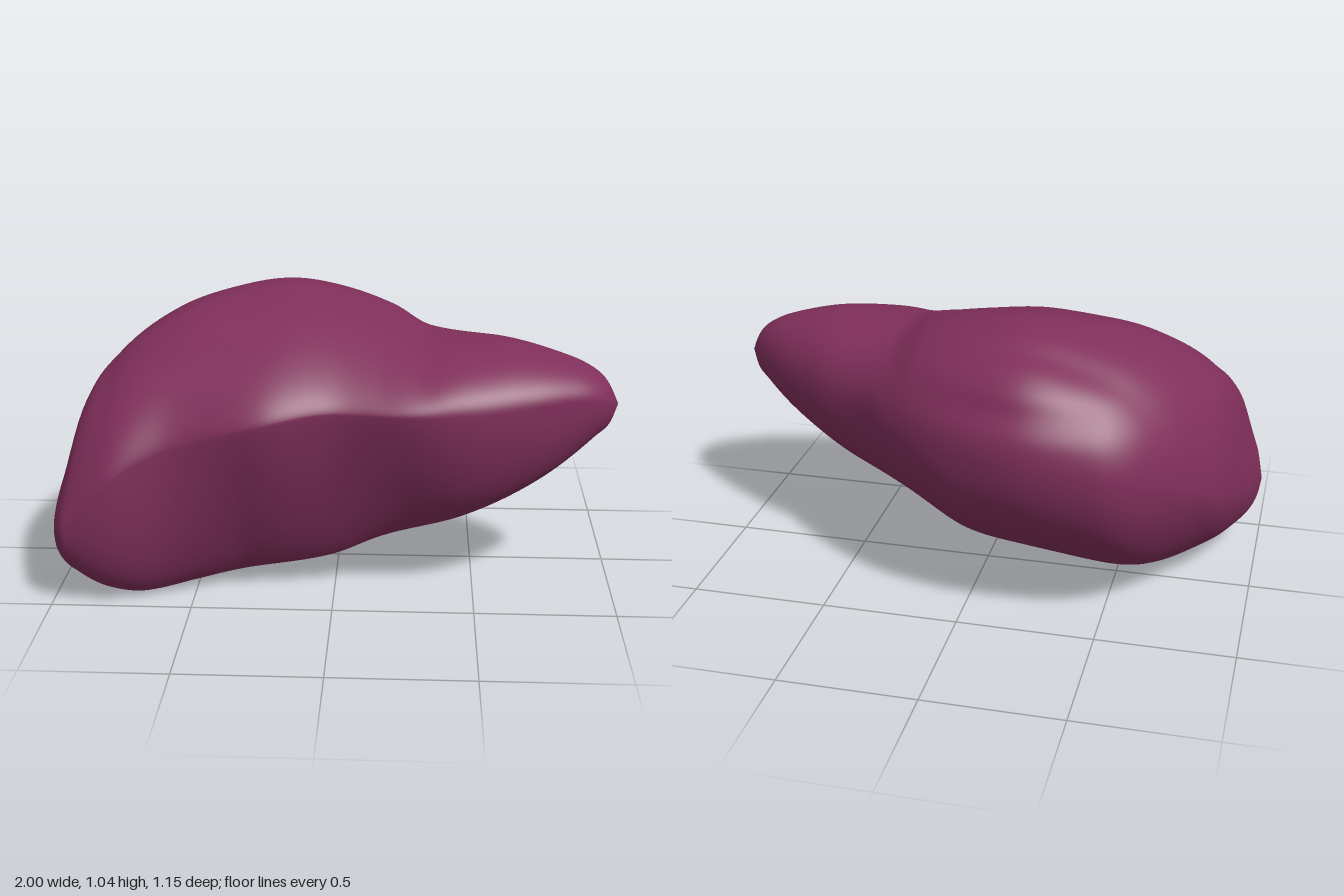
import * as THREE from 'three';

// Outline curves along the length of the organ, as [x, value] pairs
const top = [[-1, .27], [-.98, .37], [-.95, .48], [-.91, .635], [-.865, .735], [-.8, .81], [-.6, .95], [-.4, 1.012],
  [-.17, 1.04], [0, 1.02], [.2, .965], [.34, .908], [.55, .905], [.8, .86], [.92, .81], [.97, .755], [1, .69]];
const bottom = [[-1, .27], [-.99, .205], [-.97, .155], [-.9, .085], [-.8, .025], [-.68, 0], [-.5, .025], [-.33, .06],
  [0, .125], [.15, .19], [.45, .28], [.6, .35], [.8, .475], [.92, .575], [.97, .62], [1, .69]];
const back = [[-1, .38], [-.97, .19], [-.93, .03], [-.88, -.12], [-.8, -.26], [-.7, -.4], [-.6, -.5], [-.48, -.555],
  [-.27, -.58], [0, -.52], [.3, -.34], [.42, -.23], [.65, -.095], [.9, .085], [.96, .145], [1, .21]];
const front = [[-1, .38], [-.97, .51], [-.93, .555], [-.8, .575], [-.55, .53], [-.25, .565], [.03, .505],
  [.27, .53], [.45, .51], [.6, .47], [.8, .39], [.92, .32], [.97, .275], [1, .21]];
// Heights of the front and back edges, depths of the crest and the keel
const frontY = [[-1, .27], [-.9, .34], [-.75, .5], [-.5, .62], [0, .73], [.5, .73], [.8, .745], [.92, .73], [1, .69]];
const backY = [[-1, .27], [-.9, .4], [-.6, .6], [-.2, .67], [.3, .66], [.7, .68], [1, .69]];
const crestZ = [[-1, .38], [-.8, .12], [-.5, 0], [-.2, -.11], [.2, -.03], [.4, .1], [.6, .15], [1, .21]];
const keelZ = [[-1, .38], [-.7, .33], [-.3, .28], [.1, .28], [.5, .27], [1, .21]];
// Fullness of each quarter of the cross-section (1 is straight, 2 is round)
const frontTopFullness = [[-1, 1.6], [-.6, 1.55], [.15, 1.48], [.45, 1.9], [1, 1.9]];
const frontBottomFullness = [[-1, 2], [-.75, 2.4], [-.3, 1.3], [.2, 1.3], [.5, 1.85], [.8, 2.2], [1, 2]];
const backBottomFullness = [[-1, 1.5], [-.85, 1.55], [-.55, 1.95], [-.2, 2], [.05, 2.15], [.3, 2], [.55, 2.25], [1, 2.1]];
const backTopFullness = [[-1, 2.1], [1, 2.1]];

// Smooth interpolation that never overshoots its points
function sample(points, x) {
  const secant = (k) => (points[k + 1][1] - points[k][1]) / (points[k + 1][0] - points[k][0]);
  const slope = (k) => {
    if (k === 0) return secant(0);
    if (k === points.length - 1) return secant(k - 1);
    const a = secant(k - 1), b = secant(k);
    if (a * b <= 0) return 0;
    const before = points[k][0] - points[k - 1][0], after = points[k + 1][0] - points[k][0];
    const mean = (a * after + b * before) / (before + after);
    return Math.sign(mean) * Math.min(Math.abs(mean), 1.6 * Math.abs(a), 1.6 * Math.abs(b));
  };
  let i = 0;
  while (i < points.length - 2 && x > points[i + 1][0]) i++;
  const [x0, v0] = points[i], [x1, v1] = points[i + 1];
  const h = x1 - x0, t = (x - x0) / h, s = 1 - t;
  return v0 * (1 + 2 * t) * s * s + slope(i) * h * t * s * s + v1 * t * t * (3 - 2 * t) - slope(i + 1) * h * t * t * s;
}

const bell = (value, centre, width) => Math.exp(-(((value - centre) / width) ** 2));

// One point of the cross-section: four rounded quarters meeting at crest, keel and edges
function sectionPoint(x, angle) {
  const c = Math.cos(angle), s = Math.sin(angle);
  const isFront = c >= 0, isTop = s >= 0;
  const edgeZ = sample(isFront ? front : back, x), edgeY = sample(isFront ? frontY : backY, x);
  const capZ = sample(isTop ? crestZ : keelZ, x), capY = sample(isTop ? top : bottom, x);
  const fullness = isTop ? (isFront ? frontTopFullness : backTopFullness)
    : (isFront ? frontBottomFullness : backBottomFullness);
  const n = sample(fullness, x);
  let z = capZ + (edgeZ - capZ) * Math.abs(c) ** (2 / n);
  let y = edgeY + (capY - edgeY) * Math.abs(s) ** (2 / n);
  // Two shallow grooves along the back of the large lobe
  if (isTop && !isFront) {
    const upper = .012 * bell(z, -.34, .06) * bell(x, -.25, .4);
    const lower = .018 * bell(y, .835, .05) * bell(x, -.2, .35) * Math.abs(c);
    y -= upper;
    z += lower;
  }
  return [x, y, z];
}

function createLobes() {
  const rings = 120, sides = 112, positions = [], indices = [];
  for (let i = 0; i <= rings; i++) {
    const x = -Math.cos(Math.PI * i / rings);
    for (let j = 0; j < sides; j++) positions.push(...sectionPoint(x, 2 * Math.PI * j / sides));
  }
  for (let i = 0; i < rings; i++) {
    for (let j = 0; j < sides; j++) {
      const k = (j + 1) % sides;
      const a = i * sides + j, b = a + sides, c = i * sides + k, d = c + sides;
      if (i < rings - 1) indices.push(b, d, c);
      if (i > 0) indices.push(a, b, c);
    }
  }
  const geometry = new THREE.BufferGeometry();
  geometry.setAttribute('position', new THREE.Float32BufferAttribute(positions, 3));
  geometry.setIndex(indices);
  geometry.computeVertexNormals();
  return geometry;
}

export function createModel() {
  const group = new THREE.Group();
  group.name = 'liver';
  const material = new THREE.MeshStandardMaterial({ color: 0x802f5a });
  material.name = 'dark plum';
  const lobes = new THREE.Mesh(createLobes(), material);
  lobes.name = 'lobes';
  group.add(lobes);
  return group;
}
